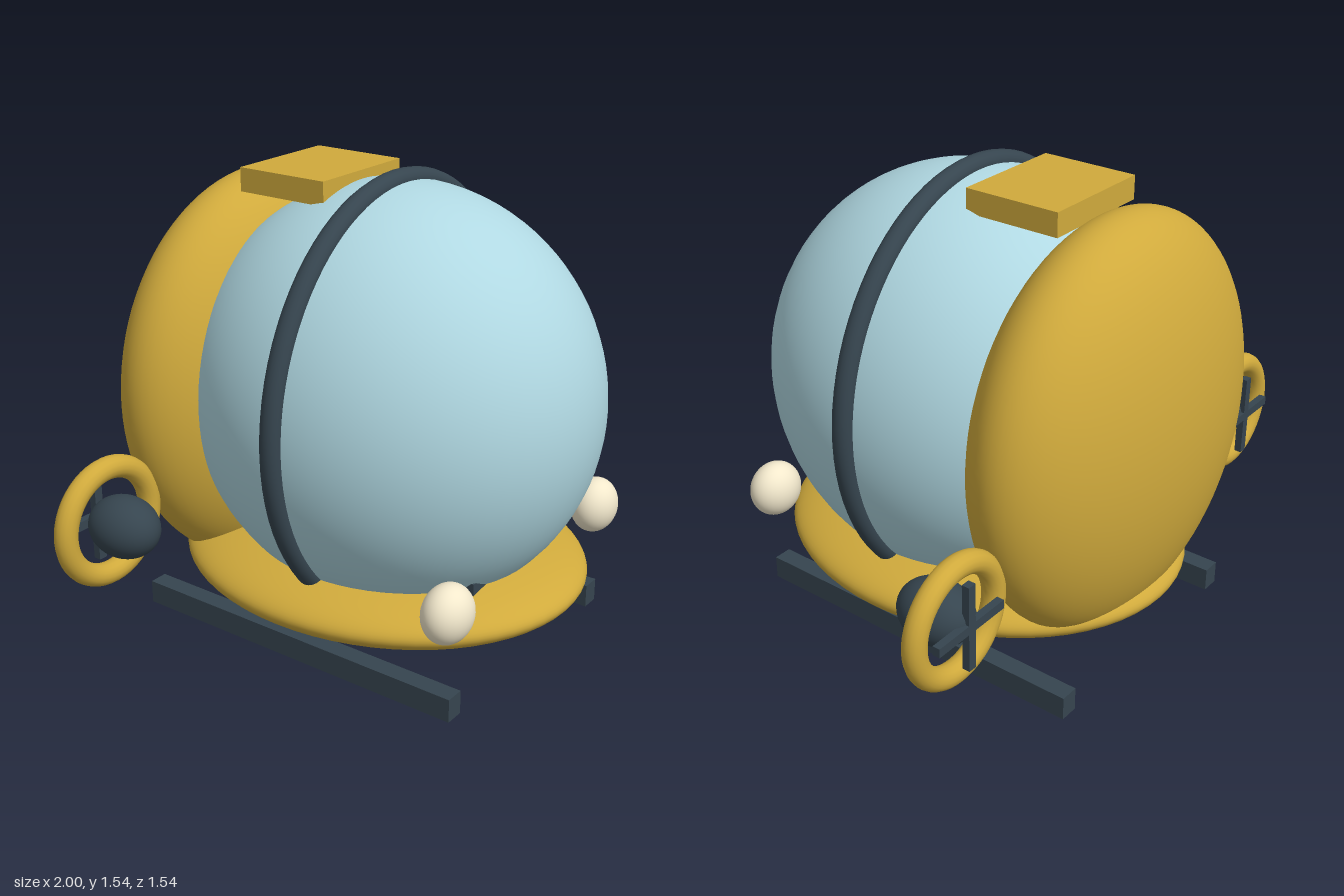
import * as THREE from 'three';

const paint = (color) => new THREE.MeshStandardMaterial({ color });

export function createModel() {
  const model = new THREE.Group();
  const gold = paint(0xd0aa3c);
  const glass = paint(0xb0d8e2);
  const dark = paint(0x36454f);
  const cream = paint(0xf2e8cc);

  const add = (name, geometry, material, [x, y, z], parent = model) => {
    const mesh = new THREE.Mesh(geometry, material);
    mesh.name = name;
    mesh.position.set(x, y, z);
    parent.add(mesh);
    return mesh;
  };
  const ellipsoid = (rx, ry, rz, segments = 48) =>
    new THREE.SphereGeometry(1, segments, segments * 0.75).scale(rx, ry, rz);
  const box = (w, h, d) => new THREE.BoxGeometry(w, h, d);

  // Cabin: glass bubble with its frame ring, rear shell and lower hull
  add('bubble', ellipsoid(0.63, 0.7, 0.7, 64), glass, [0, 0.81, 0.07]);
  add('frameRing', new THREE.TorusGeometry(0.7, 0.035, 16, 80).scale(0.905, 1, 1), dark, [0, 0.81, 0.07]);
  add('rearShell', ellipsoid(0.64, 0.69, 0.29, 64), gold, [0, 0.795, -0.48]);
  add('lowerHull', ellipsoid(0.6, 0.14, 0.717, 64), gold, [0, 0.235, 0.022]);
  add('roofBox', box(0.4, 0.078, 0.332), gold, [0, 1.487, -0.228]);

  // Console inside the bubble; only its front corners reach the glass
  add('console', box(0.48, 0.155, 0.3), dark, [0, 0.277, 0.388]);

  for (const [side, s] of [['left', 1], ['right', -1]]) {
    add(`${side}Skid`, box(0.064, 0.08, 1.24), dark, [s * 0.43, 0.04, -0.02]);
    add(`${side}Headlight`, ellipsoid(0.095, 0.095, 0.077, 32), cream, [s * 0.452, 0.37, 0.583]);

    // Thruster: guard ring, motor pod and crossed blades behind it
    const thruster = new THREE.Group();
    thruster.name = `${side}Thruster`;
    thruster.position.set(s * 0.783, 0.495, -0.48);
    model.add(thruster);
    add('guardRing', new THREE.TorusGeometry(0.178, 0.037, 16, 48), gold, [0, 0, 0], thruster);
    add('motorPod', ellipsoid(0.1, 0.1, 0.125, 32), dark, [0, 0, 0.07], thruster);
    add('bladeAcross', box(0.29, 0.03, 0.025), dark, [0, 0, -0.05], thruster);
    add('bladeUpright', box(0.03, 0.29, 0.025), dark, [0, 0, -0.05], thruster);
  }
  return model;
}
